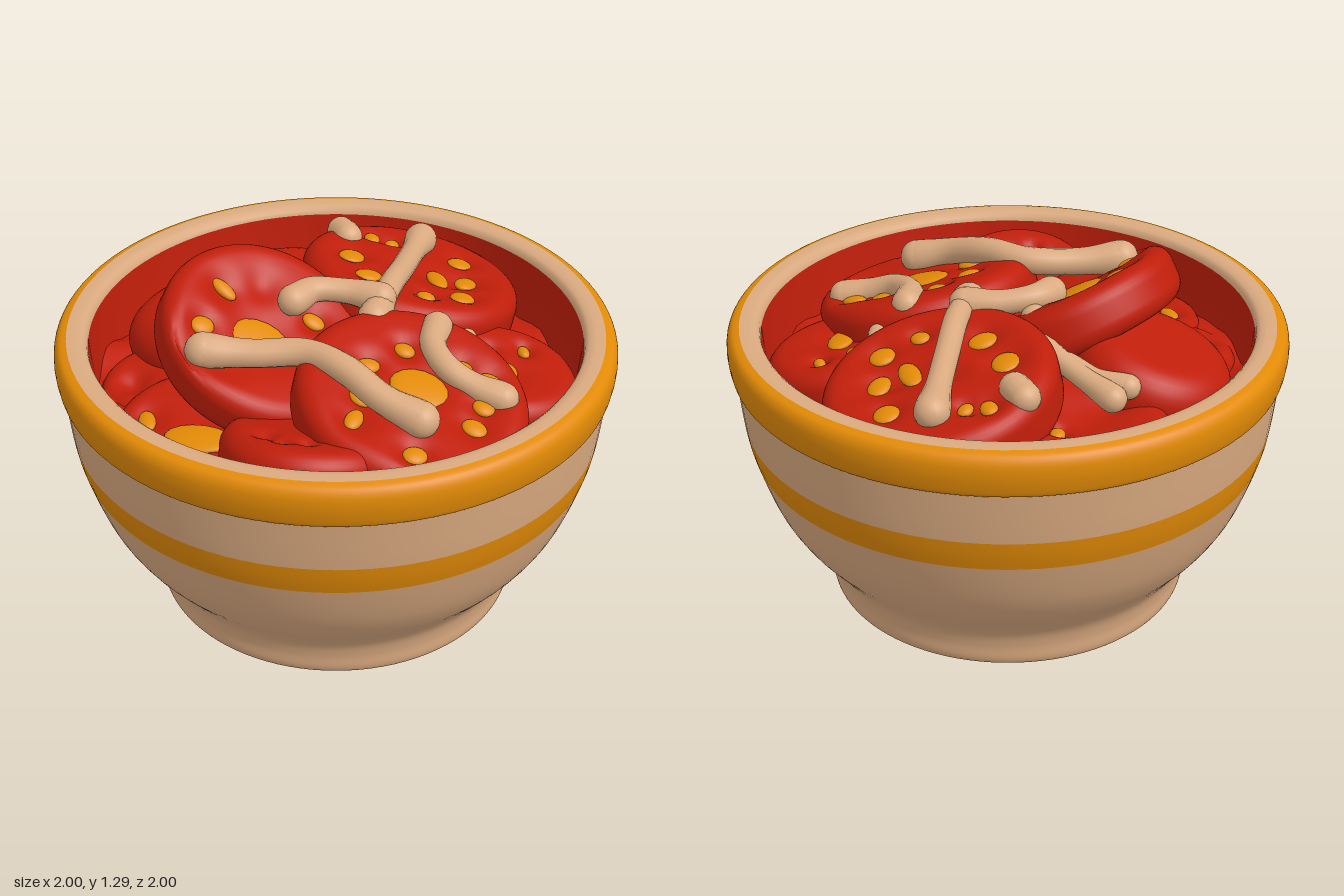
import * as THREE from 'three';
import { mergeVertices } from 'three/addons/utils/BufferGeometryUtils.js';

const material = (name, color) => {
  const m = new THREE.MeshStandardMaterial({ color });
  m.name = name;
  return m;
};

export function createModel() {
  const cream = material('cream', 0xdaaa80);
  const orange = material('orange', 0xe28a06);
  const red = material('tomatoRed', 0xc01e0a);
  const model = new THREE.Group();
  model.name = 'bowlOfTomatoes';

  const add = (parent, name, geometry, mat) => {
    const mesh = new THREE.Mesh(geometry, mat);
    mesh.name = name;
    parent.add(mesh);
    return mesh;
  };
  const vectors = (list) => list.map(([x, y]) => new THREE.Vector2(x, y));
  const lathe = (points, segments = 96) => new THREE.LatheGeometry(points, segments);
  // Weld the seam and refresh normals after reshaping
  const smooth = (geometry) => {
    geometry.deleteAttribute('uv');
    geometry.deleteAttribute('normal');
    const welded = mergeVertices(geometry, 1e-4);
    welded.computeVertexNormals();
    return welded;
  };

  // Bowl wall: one smooth profile, cut into colour bands
  const wall = [[0.625, 0], [0.652, 0.008], [0.664, 0.035], [0.668, 0.09], [0.685, 0.15], [0.73, 0.215],
    [0.81, 0.315], [0.875, 0.43], [0.933, 0.6], [0.957, 0.715], [0.977, 0.91]];
  const steps = 6;
  const wallPoints = new THREE.SplineCurve(vectors(wall)).getPoints((wall.length - 1) * steps);
  const band = (from, to) => lathe(wallPoints.slice(from * steps, to * steps + 1));
  add(model, 'lowerBowl', band(0, 8), cream);
  add(model, 'bowlStripe', band(8, 9), orange);
  add(model, 'upperBowl', band(9, 10), cream);
  add(model, 'bowlBase', lathe(vectors([[0, 0.025], [0.575, 0.025], [0.6, 0.01], [0.625, 0]])), cream);

  // Rim: orange outside, cream lip, red inner wall
  const rim = new THREE.SplineCurve(vectors([[0.976, 0.908], [0.988, 0.917], [0.996, 0.95], [1, 0.99],
    [0.996, 1.03], [0.98, 1.056], [0.953, 1.066]]));
  add(model, 'rim', lathe(rim.getPoints(30)), orange);
  add(model, 'rimLip', lathe(vectors([[0.953, 1.066], [0.92, 1.068], [0.895, 1.064], [0.882, 1.052], [0.878, 1.035]])), cream);
  add(model, 'innerWall', lathe(vectors([[0.878, 1.035], [0.872, 0.96], [0.855, 0.8], [0.84, 0.7]])), red);

  // Lumpy filling under the slices
  const fillPoints = [];
  for (let i = 40; i >= 0; i--) fillPoints.push(new THREE.Vector2(0.87 * i / 40, 0.82));
  const filling = lathe(fillPoints, 80);
  const fp = filling.attributes.position;
  for (let i = 0; i < fp.count; i++) {
    const x = fp.getX(i), z = fp.getZ(i);
    fp.setY(i, 0.82 + 0.035 * Math.sin(9 * x + 4 * z) * Math.cos(10 * z - 3 * x) + 0.02 * Math.sin(19 * x) * Math.sin(17 * z));
  }
  add(model, 'filling', smooth(filling), red);

  // Thick tomato slice; each pocket is [x, z, seed width, seed depth], each dent [x, z, spread, depth]
  const slice = ({ name, at, tilt, r, pockets = [], dents = [], round = 0.07, t = 0.2 }) => {
    const group = new THREE.Group();
    group.name = name;
    const flat = r - round;
    const points = [new THREE.Vector2(0, -t)];
    const arc = (cy, a0, a1) => {
      for (let i = 0; i <= 7; i++) {
        const a = a0 + (a1 - a0) * i / 7;
        points.push(new THREE.Vector2(flat + round * Math.cos(a), cy + round * Math.sin(a)));
      }
    };
    arc(-t + round, -Math.PI / 2, 0);
    arc(-round, 0, Math.PI / 2);
    for (let i = 23; i >= 0; i--) points.push(new THREE.Vector2(flat * i / 24, 0));
    const geometry = lathe(points, 72);
    const p = geometry.attributes.position;
    const hollows = [...pockets.map(([x, z, w, d]) => [x, z, Math.max(w, d) * 1.4, 0.035]), ...dents];
    const sink = (x, z) => {
      let y = 0;
      for (const [hx, hz, s, depth] of hollows) y -= depth * Math.exp(-((x - hx) ** 2 + (z - hz) ** 2) / (s * s));
      return Math.max(y, -0.075);
    };
    for (let i = 0; i < p.count; i++) {
      if (p.getY(i) > -0.02) p.setY(i, p.getY(i) + sink(p.getX(i), p.getZ(i)));
    }
    add(group, 'tomatoFlesh', smooth(geometry), red);
    pockets.forEach(([x, z, w, d], i) => {
      const seed = add(group, 'seed', new THREE.SphereGeometry(1, 16, 10), orange);
      seed.scale.set(w * 1.1, 0.018, d * 1.1);
      seed.position.set(x, sink(x, z) + 0.013, z);
      seed.rotation.y = 0.5 * Math.sin(i * 2);
    });
    group.position.set(...at);
    group.rotation.set(tilt[0], 0, tilt[1]);
    model.add(group);
  };

  slice({ name: 'backSlice', at: [0.175, 1.07, -0.475], tilt: [-0.18, -0.17], r: 0.41, t: 0.22,
    pockets: [[-0.23, 0.05, 0.045, 0.05], [-0.21, -0.19, 0.028, 0.035], [-0.13, -0.19, 0.024, 0.03], [0.14, -0.19, 0.043, 0.043],
      [0.1, 0.02, 0.035, 0.065], [0.22, 0.13, 0.042, 0.045], [0.1, 0.22, 0.033, 0.03], [-0.13, 0.18, 0.048, 0.04], [0.2, -0.03, 0.037, 0.05]],
    dents: [[-0.05, 0.0, 0.06, 0.02]] });
  slice({ name: 'leftSlice', at: [-0.19, 1.12, 0.155], tilt: [0.25, -0.47], r: 0.385,
    pockets: [[-0.01, 0.05, 0.105, 0.08], [-0.22, 0.11, 0.04, 0.035], [-0.2, -0.08, 0.05, 0.025], [0.14, -0.13, 0.04, 0.03], [0.17, 0.05, 0.03, 0.04]],
    dents: [[0, 0, 0.2, 0.025], [-0.08, -0.17, 0.07, 0.03], [-0.1, 0.22, 0.08, 0.03], [-0.22, 0.23, 0.09, 0.035]] });
  slice({ name: 'rightSlice', at: [0.365, 1.055, 0.31], tilt: [0.16, -0.24], r: 0.41,
    pockets: [[0.01, -0.02, 0.095, 0.08], [-0.18, -0.05, 0.04, 0.03], [-0.16, 0.1, 0.045, 0.04], [-0.16, 0.22, 0.028, 0.045],
      [0.07, 0.29, 0.04, 0.035], [0.23, 0.08, 0.042, 0.035], [0.24, -0.03, 0.037, 0.033], [0.13, -0.18, 0.035, 0.035], [-0.08, -0.18, 0.035, 0.03],
      [0.24, -0.16, 0.045, 0.03]] });
  slice({ name: 'backLeftSlice', at: [-0.32, 0.95, -0.47], tilt: [-0.05, 0.05], r: 0.31,
    pockets: [[0.07, -0.07, 0.025, 0.03]], dents: [[0, 0, 0.15, 0.05], [-0.1, 0.12, 0.06, 0.03]] });
  slice({ name: 'sideLeftSlice', at: [-0.56, 1.04, -0.09], tilt: [0, 0.32], r: 0.29, round: 0.11, t: 0.24 });
  slice({ name: 'sideRightSlice', at: [0.61, 0.95, -0.08], tilt: [0, -0.2], r: 0.27,
    pockets: [[0, 0.04, 0.045, 0.065], [0.04, -0.13, 0.02, 0.03], [-0.08, -0.06, 0.035, 0.03]] });
  slice({ name: 'frontLeftSlice', at: [-0.36, 0.895, 0.45], tilt: [0.08, 0.02], r: 0.31,
    pockets: [[0.02, 0.09, 0.115, 0.065], [-0.19, 0.03, 0.028, 0.05]], dents: [[-0.12, 0.16, 0.05, 0.03]] });
  slice({ name: 'frontSlice', at: [0.05, 0.965, 0.52], tilt: [-0.33, 0], r: 0.3,
    dents: [[-0.12, 0.12, 0.04, 0.03], [-0.05, 0.16, 0.03, 0.03], [0.03, 0.14, 0.03, 0.03]] });
  slice({ name: 'lowerLeftSlice', at: [-0.6, 0.89, 0.22], tilt: [0.1, 0.1], r: 0.22,
    dents: [[-0.08, 0.05, 0.06, 0.04], [0.02, 0.1, 0.05, 0.03]] });

  // Cream strips that swell gently into round ends
  const strip = (name, points, r = 0.042, swell = 0.3) => {
    const group = new THREE.Group();
    group.name = name;
    const path = new THREE.CatmullRomCurve3(points.map((p) => new THREE.Vector3(...p)));
    const rings = 48, sides = 14, length = path.getLength();
    const tube = new THREE.TubeGeometry(path, rings, r, sides, false);
    const p = tube.attributes.position;
    const v = new THREE.Vector3();
    for (let i = 0; i <= rings; i++) {
      const centre = path.getPointAt(i / rings);
      const toEnd = Math.min(i, rings - i) / rings * length;
      const factor = 1 + swell * Math.exp(-((toEnd / 0.085) ** 2));
      for (let j = 0; j <= sides; j++) {
        const k = i * (sides + 1) + j;
        v.fromBufferAttribute(p, k).sub(centre).multiplyScalar(factor).add(centre);
        p.setXYZ(k, v.x, v.y, v.z);
      }
    }
    add(group, 'stripBody', smooth(tube), cream);
    for (const t of [0, 1]) {
      const end = add(group, 'stripEnd', new THREE.SphereGeometry(r * (1 + swell), 18, 14), cream);
      end.position.copy(path.getPoint(t));
    }
    model.add(group);
  };
  strip('backStrip', [[0.145, 1.05, -0.71], [0.15, 1.1, -0.4], [0.15, 1.135, -0.2], [0.14, 1.11, 0.0]], 0.044, 0.4);
  strip('middleStrip', [[-0.15, 1.15, 0.02], [-0.1, 1.16, -0.05], [0.02, 1.15, -0.09], [0.14, 1.14, -0.09]], 0.044);
  strip('frontStrip', [[-0.365, 1.13, 0.39], [-0.2, 1.12, 0.35], [-0.02, 1.13, 0.315], [0.13, 1.13, 0.375],
    [0.28, 1.085, 0.45], [0.42, 1.04, 0.475]], 0.05, 0.28);
  strip('rightStrip', [[0.36, 1.09, -0.03], [0.37, 1.085, 0.08], [0.44, 1.06, 0.17], [0.54, 1.02, 0.2], [0.645, 0.99, 0.205]], 0.045, 0.25);
  strip('leftStrip', [[-0.42, 0.99, -0.43], [-0.27, 1.03, -0.32], [-0.15, 1.08, -0.22], [-0.11, 1.11, -0.11]], 0.038);
  strip('leftStripBranch', [[-0.465, 1.0, -0.36], [-0.36, 1.01, -0.34], [-0.25, 1.03, -0.29]], 0.034);
  strip('backCrumb', [[-0.15, 1.085, -0.635], [-0.125, 1.09, -0.605], [-0.11, 1.09, -0.585]], 0.054, 0);
  strip('rightCrumb', [[0.45, 1.0, -0.13], [0.455, 1.0, -0.1]], 0.035, 0);

  return model;
}
